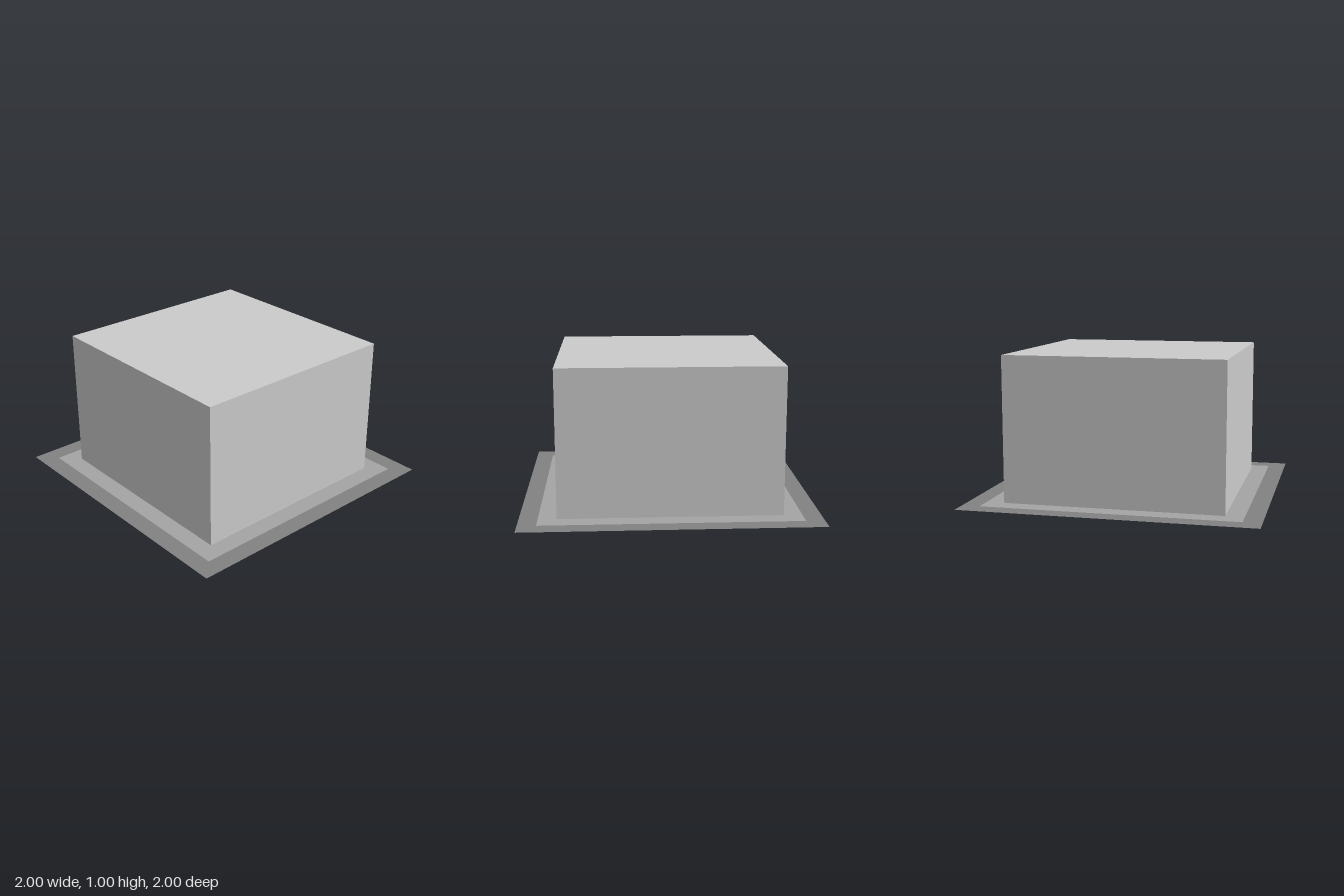
import * as THREE from 'three';

const material = (color) =>
  new THREE.MeshStandardMaterial({ color, side: THREE.DoubleSide, flatShading: true });

// Flat square panel, facing +z before it is turned
function panel(name, width, height, mat) {
  const mesh = new THREE.Mesh(new THREE.PlaneGeometry(width, height), mat);
  mesh.name = name;
  return mesh;
}

// Flat square frame lying on the ground between two half-widths
function frame(name, inner, outer, mat) {
  const square = (path, r) =>
    path.moveTo(-r, -r).lineTo(r, -r).lineTo(r, r).lineTo(-r, r).closePath();
  const shape = square(new THREE.Shape(), outer);
  shape.holes.push(square(new THREE.Path(), inner));
  const mesh = new THREE.Mesh(new THREE.ShapeGeometry(shape).rotateX(-Math.PI / 2), mat);
  mesh.name = name;
  return mesh;
}

export function createModel() {
  const model = new THREE.Group();
  model.name = 'openBoxWithRim';
  const half = 0.75, height = 1;
  const grey = material(0xcccccc);

  // Four thin walls, open underneath
  const walls = new THREE.Group();
  walls.name = 'walls';
  ['frontWall', 'leftWall', 'backWall', 'rightWall'].forEach((name, i) => {
    const wall = panel(name, half * 2, height, grey);
    const angle = i * Math.PI / 2;
    wall.rotation.y = angle;
    wall.position.set(Math.sin(angle) * half, height / 2, Math.cos(angle) * half);
    walls.add(wall);
  });
  model.add(walls);

  // Closed top
  const top = panel('top', half * 2, half * 2, grey);
  top.rotation.x = -Math.PI / 2;
  top.position.y = height;
  model.add(top);

  // Two-tone flat rim around the opening
  model.add(frame('innerRim', half, 0.875, material(0xa4a4a4)));
  model.add(frame('outerRim', 0.875, 1, material(0x828282)));
  return model;
}
